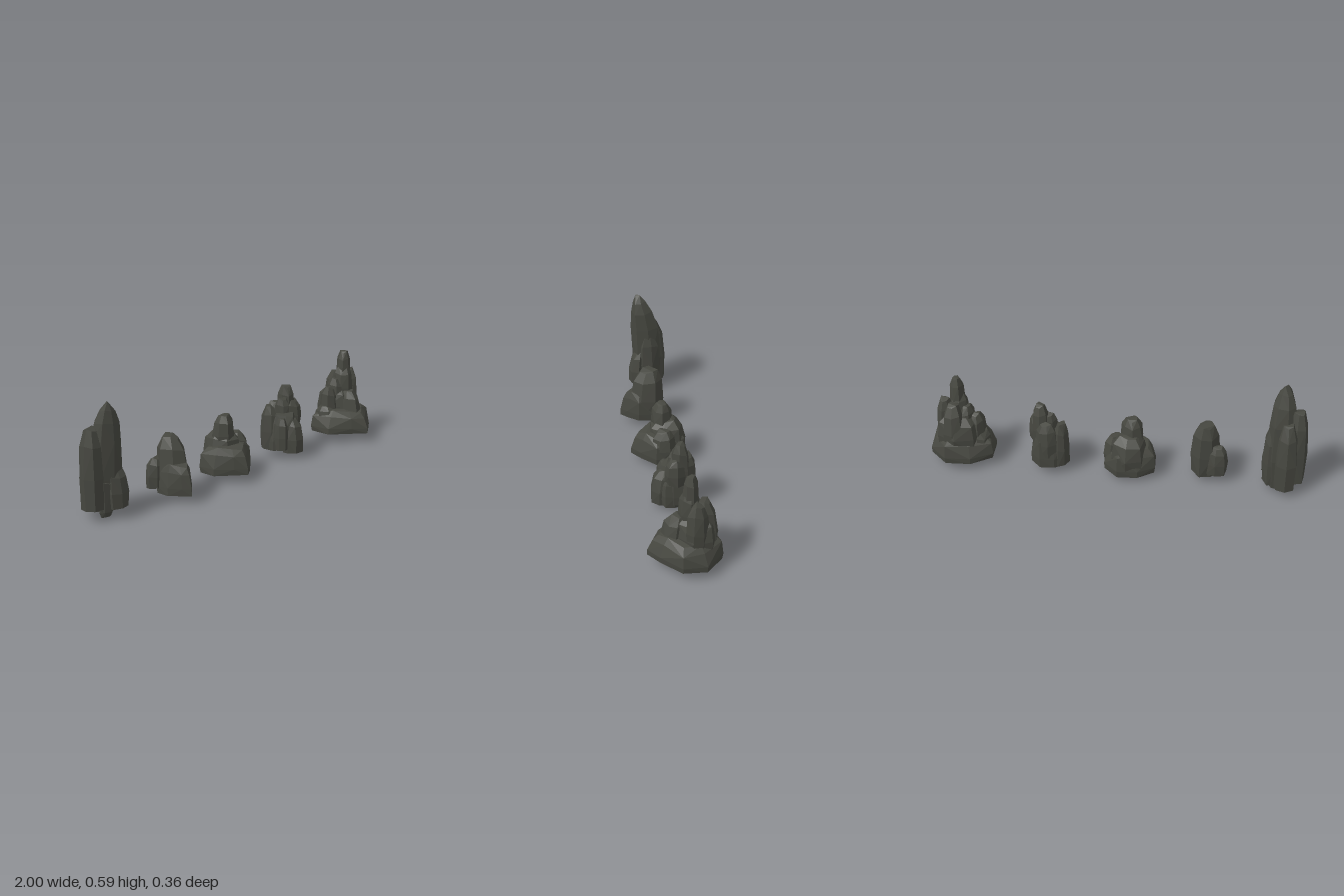
import * as THREE from 'three';
import { ConvexGeometry } from 'three/addons/geometries/ConvexGeometry.js';

const stone = new THREE.MeshStandardMaterial({ color: 0x464740 });
stone.name = 'dark stone';

// Profiles: [fraction of height, width]
const PROFILES = {
  base: [[0, 0.98], [0.25, 1], [0.75, 0.9], [1, 0.7]],
  column: [[0, 0.92], [0.4, 1], [0.8, 0.85], [1, 0.5]],
  spire: [[0, 0.85], [0.3, 1], [0.65, 0.93], [0.83, 0.74], [0.94, 0.45], [1, 0.15]],
  root: [[0, 0.5], [0.15, 0.75], [1, 1]],
};

// Irregular outline spanning -1 to 1 both ways; bases are square behind and pointed in front
function outline(kind, seed) {
  const isBase = kind === 'base';
  const n = isBase ? 9 : 7;
  const turn = isBase ? Math.PI / 2 : seed * 0.7;
  const pts = Array.from({ length: n }, (_, i) => {
    const a = turn + (i / n) * Math.PI * 2;
    const s = Math.sin(a);
    const corner = isBase && s < 0 ? 1 + 0.15 * Math.abs(Math.sin(2 * a)) : 1;
    const r = corner * (1 + 0.07 * Math.sin(i * 2.7 + seed));
    const pinch = isBase ? 1 - 0.45 * Math.max(0, s) : 1;
    return new THREE.Vector2(Math.cos(a) * r * pinch, s * r);
  });
  const box = new THREE.Box2().setFromPoints(pts);
  const mid = box.getCenter(new THREE.Vector2());
  const half = box.getSize(new THREE.Vector2()).multiplyScalar(0.5);
  return pts.map(p => p.sub(mid).divide(half));
}

// Faceted shard filling a box, with its top leaning along z and its underside rising to the front
function shard(kind, seed, [x0, x1, y0, y1, z0, z1, lean = 0]) {
  const ring = outline(kind, seed);
  const pts = [];
  PROFILES[kind].forEach(([t, width], k) => ring.forEach((p, i) => {
    const w = width * (1 + 0.04 * Math.sin(i * 3.1 + k * 1.9 + seed));
    pts.push(new THREE.Vector3(
      (x0 + x1) / 2 + p.x * w * (x1 - x0) / 2,
      y0 + (y1 - y0) * t - 0.008 * t * (1 + Math.sin(i * 2 + seed)) + 0.007 * (1 - t) * (1 + p.y),
      (z0 + z1) / 2 + p.y * w * (z1 - z0) / 2 + lean * t ** 3));
  }));
  return new THREE.Mesh(new ConvexGeometry(pts), stone);
}

// Each part: name, profile, box [x0, x1, y0, y1, z0, z1, lean]
function rock(name, parts) {
  const g = new THREE.Group();
  g.name = name;
  parts.forEach(([partName, kind, box], i) => {
    const mesh = shard(kind, i + 1, box);
    mesh.name = partName;
    g.add(mesh);
  });
  return g;
}

export function createModel() {
  const root = new THREE.Group();
  root.name = 'rockFormations';

  root.add(rock('tallSpire', [
    ['mainSpire', 'spire', [-0.945, -0.79, 0.03, 0.595, -0.13, 0.03, 0.05]],
    ['rootTip', 'root', [-0.94, -0.84, 0, 0.2, -0.06, 0.03]],
    ['leftSpire', 'column', [-1, -0.89, 0.05, 0.475, -0.1, 0.02]],
    ['backSpire', 'column', [-0.95, -0.83, 0.04, 0.42, -0.165, -0.05, 0.02]],
    ['frontShard', 'column', [-0.89, -0.77, 0.045, 0.26, -0.035, 0.06, -0.02]],
    ['rightShard', 'column', [-0.88, -0.775, 0.045, 0.36, -0.12, 0.01]],
  ]));

  root.add(rock('smallStump', [
    ['base', 'base', [-0.56, -0.4, 0.03, 0.2, -0.08, 0.15]],
    ['mainBlock', 'column', [-0.555, -0.4, 0.035, 0.33, -0.09, 0.1, -0.015]],
    ['leftLump', 'column', [-0.595, -0.48, 0.05, 0.22, -0.09, 0]],
  ]));

  root.add(rock('squatMound', [
    ['base', 'base', [-0.22, 0.06, 0.03, 0.185, -0.15, 0.14]],
    ['rightLump', 'column', [-0.06, 0.06, 0.04, 0.225, -0.09, 0.045]],
    ['shoulder', 'column', [-0.17, 0.015, 0.05, 0.255, -0.148, 0.05]],
    ['cap', 'column', [-0.145, -0.025, 0.15, 0.34, -0.085, 0.03]],
  ]));

  root.add(rock('columnCluster', [
    ['core', 'base', [0.25, 0.45, 0.04, 0.25, -0.135, 0.08]],
    ['leftColumn', 'column', [0.24, 0.325, 0.045, 0.295, -0.12, 0]],
    ['frontColumn', 'column', [0.31, 0.42, 0.025, 0.23, -0.01, 0.1, -0.02]],
    ['frontLeftColumn', 'column', [0.265, 0.345, 0.045, 0.235, -0.03, 0.06]],
    ['rightLump', 'column', [0.37, 0.465, 0.16, 0.31, -0.08, 0.035]],
    ['rightFoot', 'column', [0.36, 0.445, 0.025, 0.2, -0.06, 0.055]],
    ['middleColumn', 'column', [0.305, 0.395, 0.15, 0.33, -0.085, 0.015]],
    ['peak', 'column', [0.35, 0.44, 0.15, 0.39, -0.095, 0]],
    ['backColumn', 'column', [0.3, 0.42, 0.1, 0.3, -0.135, -0.04]],
  ]));

  root.add(rock('steppedPinnacle', [
    ['base', 'base', [0.65, 1, 0.042, 0.18, -0.18, 0.178]],
    ['leftFoot', 'column', [0.665, 0.77, 0.05, 0.2, -0.12, 0.04]],
    ['middle', 'column', [0.72, 0.95, 0.1, 0.3, -0.155, 0.05]],
    ['frontBlock', 'column', [0.775, 0.895, 0.08, 0.28, -0.02, 0.115, -0.02]],
    ['leftColumn', 'column', [0.7, 0.8, 0.1, 0.3, -0.1, 0.01]],
    ['leftHighColumn', 'column', [0.75, 0.84, 0.15, 0.345, -0.1, 0.015]],
    ['rightColumn', 'column', [0.86, 0.955, 0.12, 0.38, -0.105, 0.01]],
    ['backColumn', 'column', [0.8, 0.91, 0.1, 0.37, -0.155, -0.05, 0.015]],
    ['upperBlock', 'column', [0.785, 0.895, 0.2, 0.415, -0.075, 0.035]],
    ['peak', 'column', [0.805, 0.885, 0.28, 0.5, -0.065, 0.015]],
  ]));

  return root;
}
